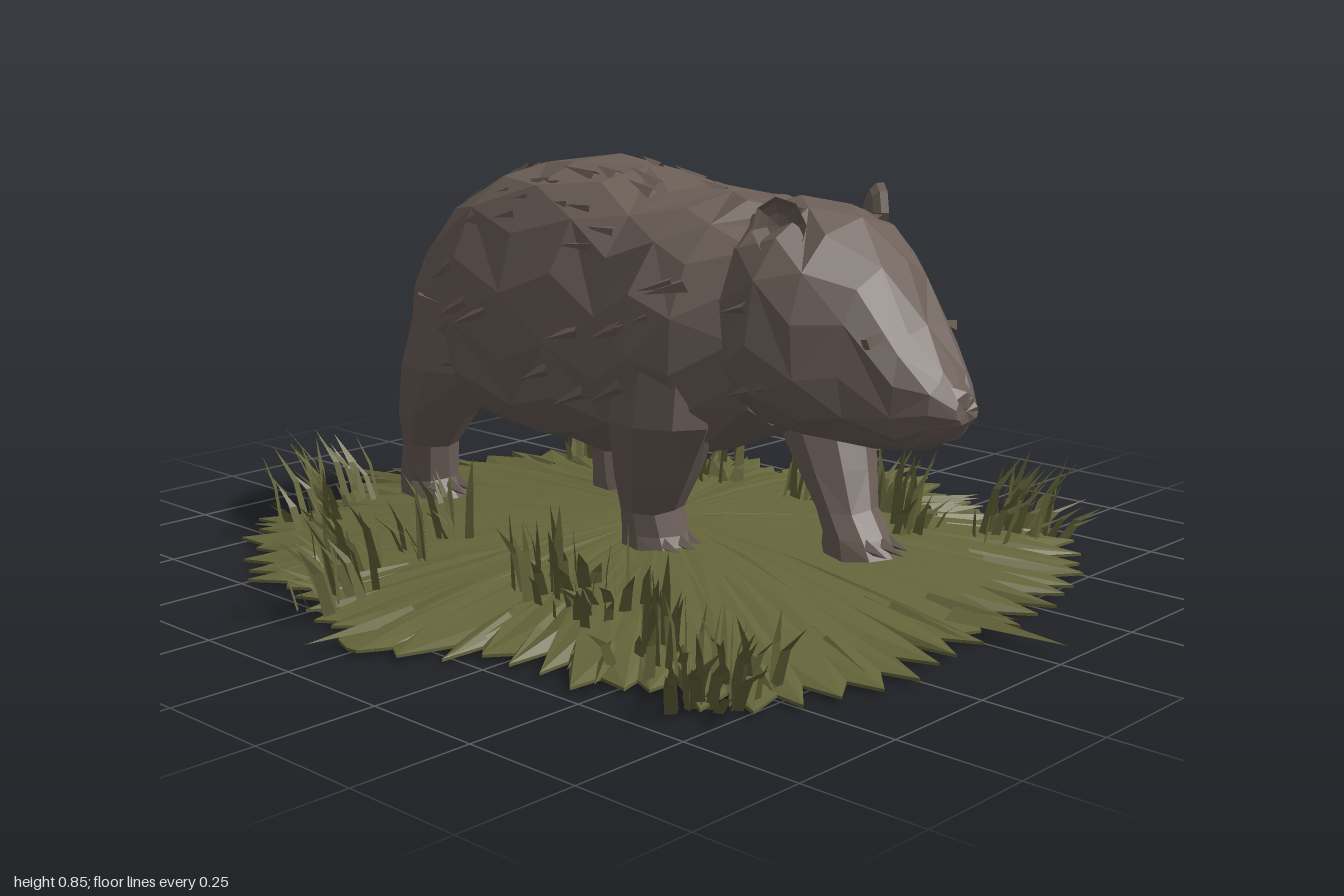
import * as THREE from 'three';

let seed = 7;
const rnd = () => (seed = (seed * 16807) % 2147483647) / 2147483647;
const spread = (a) => (rnd() * 2 - 1) * a;
const V = (x, y, z) => new THREE.Vector3(x, y, z);

// Flat-faced geometry from a list of triangle corners
function facets(points) {
  const g = new THREE.BufferGeometry().setFromPoints(points);
  g.computeVertexNormals();
  return g;
}

// Closed skin over a row of rings, capped at both ends
function loft(rings) {
  const tris = [], n = rings[0].length;
  const centre = (r) => r.reduce((s, p) => s.add(p), V(0, 0, 0)).divideScalar(n);
  const first = rings[0], last = rings[rings.length - 1];
  const c0 = centre(first), c1 = centre(last);
  for (let j = 0; j < n; j++) {
    const k = (j + 1) % n;
    for (let i = 0; i < rings.length - 1; i++) {
      const a = rings[i][j], b = rings[i][k], c = rings[i + 1][k], d = rings[i + 1][j];
      tris.push(...((i + j) % 2 ? [a, b, d, b, c, d] : [a, b, c, a, c, d]));
    }
    tris.push(c0, first[k], first[j], c1, last[j], last[k]);
  }
  return facets(tris);
}

// Torso and head sections: z, top, bottom, half width
const TORSO = [
  [-0.70, 0.43, 0.315, 0.06], [-0.66, 0.54, 0.295, 0.135], [-0.58, 0.665, 0.285, 0.215],
  [-0.48, 0.765, 0.26, 0.27], [-0.36, 0.825, 0.24, 0.295], [-0.2, 0.848, 0.225, 0.30],
  [-0.05, 0.835, 0.225, 0.305], [0.08, 0.806, 0.24, 0.30], [0.19, 0.80, 0.26, 0.318],
  [0.28, 0.80, 0.295, 0.285], [0.37, 0.775, 0.345, 0.205],
];
const HEAD = [
  [0.26, 0.77, 0.38, 0.18], [0.36, 0.805, 0.355, 0.222], [0.44, 0.80, 0.345, 0.247],
  [0.52, 0.775, 0.34, 0.215], [0.6, 0.70, 0.335, 0.165], [0.68, 0.59, 0.345, 0.115],
  [0.74, 0.51, 0.37, 0.075], [0.772, 0.46, 0.41, 0.035],
];

function sectionPoint([z, top, bottom, w], t) {
  const mid = bottom + 0.45 * (top - bottom), c = Math.cos(t), s = Math.sin(t);
  return V(w * Math.sign(c) * Math.abs(c) ** 0.85,
    mid + (s > 0 ? top - mid : mid - bottom) * Math.sign(s) * Math.abs(s) ** 0.9, z);
}

function sectionAt(table, z) {
  const i = Math.max(1, table.findIndex((s) => s[0] >= z)), a = table[i - 1], b = table[i];
  return a.map((v, k) => v + (b[k] - v) * (z - a[0]) / (b[0] - a[0]));
}

const furBody = (table, sides) => loft(table.map((s, i) =>
  Array.from({ length: sides }, (_, j) => {
    const t = (j + (i % 2) * 0.5) / sides * Math.PI * 2;
    return sectionPoint(s, t).add(V(spread(0.005), spread(0.004), spread(0.008)));
  })));

// Pointed locks lying close along the coat
function tufts(table, count, z0, z1) {
  const tris = [];
  for (let i = 0; i < count; i++) {
    const z = z0 + (z1 - z0) * rnd(), t = Math.PI / 2 + spread(2.0), len = 0.055 + 0.045 * rnd();
    const n = V(Math.cos(t), Math.sin(t), 0);
    const p = sectionPoint(sectionAt(table, z), t);
    const tip = sectionPoint(sectionAt(table, z - len), t).addScaledVector(n, 0.012);
    tip.y -= 0.4 * len * Math.abs(n.x);
    const along = tip.clone().sub(p).normalize();
    const side = n.clone().cross(along).normalize();
    const w = 0.012 + 0.01 * rnd();
    const l = p.clone().addScaledVector(side, w).addScaledVector(n, -0.01);
    const r = p.clone().addScaledVector(side, -w).addScaledVector(n, -0.01);
    const ridge = p.clone().addScaledVector(n, 0.004);
    tris.push(l, ridge, tip, ridge, r, tip, r, l, tip);
  }
  return facets(tris);
}

// Leg rows from foot to hip: y, x, z, x radius, z radius
const LEGS = {
  leftFrontLeg: [1, [[0.06, 0.135, 0.425, 0.078, 0.085], [0.1, 0.135, 0.415, 0.072, 0.072],
    [0.15, 0.14, 0.385, 0.07, 0.064], [0.23, 0.165, 0.335, 0.09, 0.085],
    [0.36, 0.198, 0.255, 0.11, 0.12], [0.52, 0.2, 0.21, 0.1, 0.11]]],
  rightFrontLeg: [-1, [[0.06, 0.135, 0.11, 0.078, 0.085], [0.1, 0.135, 0.10, 0.072, 0.072],
    [0.15, 0.14, 0.095, 0.07, 0.064], [0.23, 0.165, 0.13, 0.09, 0.085],
    [0.36, 0.198, 0.18, 0.11, 0.12], [0.52, 0.2, 0.2, 0.1, 0.11]]],
  leftHindLeg: [1, [[0.06, 0.15, -0.265, 0.07, 0.09], [0.1, 0.15, -0.28, 0.065, 0.075],
    [0.16, 0.16, -0.295, 0.066, 0.064], [0.25, 0.175, -0.32, 0.09, 0.09],
    [0.38, 0.19, -0.365, 0.12, 0.15], [0.54, 0.18, -0.38, 0.11, 0.14]]],
  rightHindLeg: [-1, [[0.06, 0.16, -0.58, 0.07, 0.085], [0.1, 0.16, -0.595, 0.065, 0.07],
    [0.18, 0.165, -0.58, 0.066, 0.062], [0.26, 0.175, -0.54, 0.09, 0.09],
    [0.38, 0.18, -0.465, 0.115, 0.15], [0.54, 0.17, -0.43, 0.11, 0.13]]],
};

// Ground radius every 11.25 degrees, from +x towards +z
const RADII = [0.90, 0.83, 0.82, 0.84, 0.92, 0.88, 0.86, 0.83, 0.82, 0.83, 0.92, 0.95, 0.90, 0.86, 0.74, 0.79,
  0.91, 0.82, 0.78, 0.89, 0.90, 0.95, 0.88, 0.90, 0.96, 0.94, 0.95, 0.88, 0.94, 0.85, 0.79, 0.82];
function groundRadius(angle) {
  const n = RADII.length, u = ((angle / (Math.PI * 2) * n) % n + n) % n, i = Math.floor(u), f = u - i;
  return RADII[i] * (1 - f) + RADII[(i + 1) % n] * f;
}
const moundHeight = (f) => 0.008 + 0.078 * (1 - f ** 1.8);

function moundGeometry() {
  const n = 144;
  const spokes = Array.from({ length: n }, (_, j) => {
    const t = (j + spread(0.4)) / n * Math.PI * 2, base = groundRadius(Math.PI / 2 - t);
    const r = base * (j % 2 ? 0.96 + 0.09 * rnd() : 0.89 + 0.07 * rnd());
    return { t, base, r: Math.min(0.98, 0.93 / Math.abs(Math.sin(t)), r) };
  });
  const ring = (f, y, rough) => spokes.map(({ t, base, r }) => {
    const d = f * (f > 0.9 ? r : base * 0.97);
    return V(Math.sin(t) * d, y + spread(rough), Math.cos(t) * d);
  });
  return loft([ring(1, 0, 0), ring(1, 0.006, 0),
    ...[0.86, 0.62, 0.38, 0.15].map((f) => ring(f, moundHeight(f), 0.007 * f))]);
}

// One bent, pointed grass blade
function blade(tris, base, lean, height, width) {
  const a = rnd() * Math.PI, side = V(Math.cos(a) * width, 0, Math.sin(a) * width);
  const mid = base.clone().addScaledVector(lean, 0.35).add(V(0, height * 0.6, 0));
  const tip = base.clone().add(lean).add(V(0, height, 0));
  const l = base.clone().add(side), r = base.clone().sub(side);
  const ml = mid.clone().addScaledVector(side, 0.75), mr = mid.clone().addScaledVector(side, -0.75);
  tris.push(l, r, mr, l, mr, ml, ml, mr, tip);
}

const CLUMPS = [[-0.44, -0.68], [-0.28, -0.76], [-0.43, -0.27], [-0.62, -0.33], [-0.72, -0.21], [0.43, -0.64],
  [0.6, -0.42], [0.69, -0.1], [0.4, 0.06], [0.42, 0.22], [0.37, -0.2], [-0.45, 0.12], [-0.47, 0.27],
  [-0.56, 0.5], [-0.55, 0.68], [0.52, 0.5], [0.64, 0.51], [0.36, 0.37], [0.6, -0.55], [-0.6, 0.62]];

function clumpGeometry() {
  const tris = [];
  for (const [cx, cz] of CLUMPS) {
    for (let i = 0; i < 18; i++) {
      const x = cx + spread(0.075), z = cz + spread(0.055);
      const f = Math.min(1, Math.hypot(x, z) / 0.9);
      const lean = V(x, 0, z).multiplyScalar(0.04 + 0.08 * rnd()).add(V(spread(0.035), 0, spread(0.035)));
      blade(tris, V(x, moundHeight(f) - 0.015, z), lean, 0.05 + 0.15 * rnd(), 0.008 + 0.007 * rnd());
    }
  }
  return facets(tris);
}

// Low blades lying outward around the rim, with the four longest reaching out
function rimGeometry() {
  const tris = [];
  const lay = (x, z, len, w) => {
    const d = V(x, 0, z).normalize(), s = V(-d.z, 0, d.x).multiplyScalar(w);
    const tip = V(x, 0.006 + 0.02 * rnd(), z), base = tip.clone().addScaledVector(d, -len).setY(0.04);
    const l = base.clone().add(s).setY(0.02), r = base.clone().sub(s).setY(0.02);
    tris.push(base, l, tip, r, base, tip);
  };
  for (let i = 0; i < 70; i++) {
    const a = rnd() * Math.PI * 2, r = Math.min(0.93, groundRadius(a) * (0.86 + 0.18 * rnd()));
    lay(Math.cos(a + spread(0.03)) * r, Math.sin(a) * r, 0.14 + 0.1 * rnd(), 0.022);
  }
  for (const [x, z] of [[0.04, 0.99], [-0.06, -1], [-0.94, -0.03], [0.93, 0]]) lay(x, z, 0.25, 0.035);
  return facets(tris);
}

export function createModel() {
  seed = 7;
  const group = new THREE.Group();
  const fur = new THREE.MeshStandardMaterial({ color: 0x6b5e57, side: THREE.DoubleSide });
  fur.name = 'grey brown fur';
  const grass = new THREE.MeshStandardMaterial({ color: 0x65653b, side: THREE.DoubleSide });
  grass.name = 'olive grass';
  const add = (name, geometry, material, parent = group) => {
    const mesh = new THREE.Mesh(geometry, material);
    mesh.name = name;
    parent.add(mesh);
    return mesh;
  };
  const faceted = (g) => { const f = g.index ? g.toNonIndexed() : g; f.computeVertexNormals(); return f; };

  add('grassMound', moundGeometry(), grass);
  add('grassClumps', clumpGeometry(), grass);
  add('rimBlades', rimGeometry(), grass);

  add('torso', furBody(TORSO, 16), fur);
  add('head', furBody(HEAD, 14), fur);
  add('coatTufts', tufts(TORSO, 60, -0.5, 0.32), fur);
  add('cheekTufts', tufts(HEAD, 14, 0.38, 0.5), fur);

  // Nose pad
  const nose = add('nose', faceted(new THREE.IcosahedronGeometry(0.04, 0)), fur);
  nose.scale.set(1.1, 0.8, 0.6);
  nose.position.set(0, 0.455, 0.755);

  // Cupped ears and brows
  for (const s of [1, -1]) {
    const side = s > 0 ? 'left' : 'right';
    const ear = new THREE.Group();
    ear.name = side + 'Ear';
    ear.position.set(s * 0.158, 0.765, 0.445);
    ear.rotation.set(0, s * 0.85, -s * 0.12);
    const cup = add('earCup', faceted(new THREE.SphereGeometry(0.056, 8, 4, 0, Math.PI * 2, 0, Math.PI * 0.55)), fur, ear);
    cup.rotation.x = -Math.PI / 2;
    cup.scale.set(0.95, 0.65, 1.1);
    group.add(ear);
    const brow = add(side + 'Brow', faceted(new THREE.ConeGeometry(0.014, 0.08, 4)), fur);
    brow.position.set(s * 0.1, 0.575, 0.648);
    brow.rotation.set(0.6, 0, s * 1.2);
  }

  // Legs with three claws each
  for (const [name, [s, rows]] of Object.entries(LEGS)) {
    const leg = new THREE.Group();
    leg.name = name;
    add('limb', loft(rows.map(([y, x, z, rx, rz]) => Array.from({ length: 9 }, (_, j) => {
      const t = j / 9 * Math.PI * 2;
      return V(s * x + Math.sin(t) * rx, y + spread(0.004), z + Math.cos(t) * rz);
    }))), fur, leg);
    const [, fx, fz, , fr] = rows[0];
    for (const k of [-1, 0, 1]) {
      const claw = add('claw', faceted(new THREE.ConeGeometry(0.016, 0.06, 4)), fur, leg);
      claw.position.set(s * fx + k * 0.036, 0.08, fz + fr - Math.abs(k) * 0.015);
      claw.rotation.x = Math.PI / 2 + 0.25;
    }
    group.add(leg);
  }
  return group;
}
